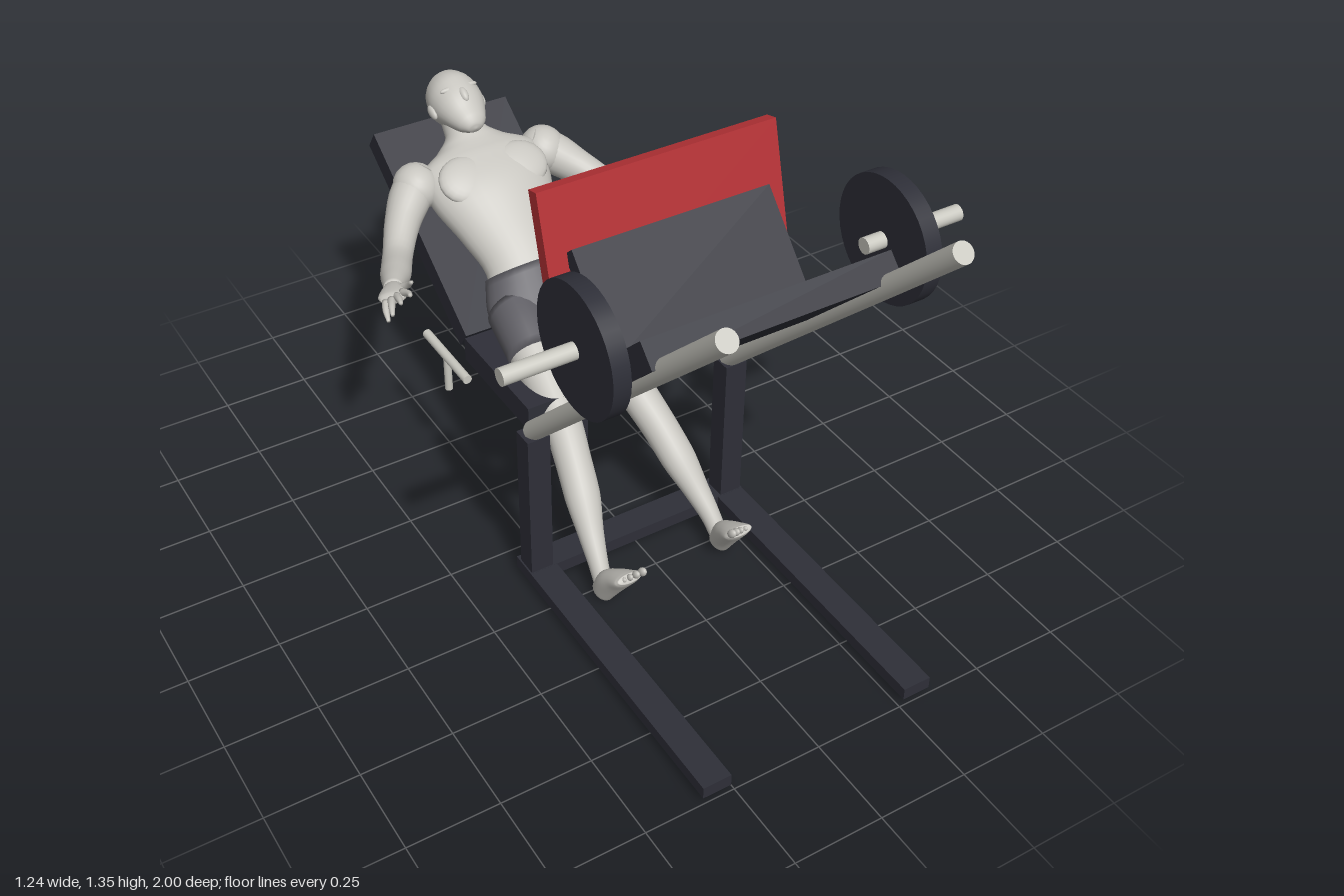
import * as THREE from 'three';

const mat = (name, color) => {
  const m = new THREE.MeshStandardMaterial({ color });
  m.name = name;
  return m;
};

// Smooth closed loft through rings [x, y, z, halfWidth, halfDepth]
function loft(rings, steps = 4, sides = 24) {
  const centre = new THREE.CatmullRomCurve3(rings.map(r => new THREE.Vector3(r[0], r[1], r[2])));
  const size = new THREE.CatmullRomCurve3(rings.map(r => new THREE.Vector3(r[3], r[4], 0)));
  const n = (rings.length - 1) * steps;
  const pos = [], idx = [];
  for (let i = 0; i <= n; i++) {
    const c = centre.getPoint(i / n), s = size.getPoint(i / n), t = centre.getTangent(i / n);
    const u = new THREE.Vector3(1, 0, 0).addScaledVector(t, -t.x).normalize();
    const v = new THREE.Vector3().crossVectors(t, u);
    for (let j = 0; j < sides; j++) {
      const q = j / sides * Math.PI * 2;
      const p = c.clone().addScaledVector(u, s.x * Math.cos(q)).addScaledVector(v, s.y * Math.sin(q));
      pos.push(p.x, p.y, p.z);
    }
  }
  for (let i = 0; i < n; i++) for (let j = 0; j < sides; j++) {
    const k = (j + 1) % sides, a = i * sides + j, b = i * sides + k;
    idx.push(a, b, b + sides, a, b + sides, a + sides);
  }
  // End caps
  const first = rings[0], last = rings[rings.length - 1], e = pos.length / 3;
  pos.push(first[0], first[1], first[2], last[0], last[1], last[2]);
  for (let j = 0; j < sides; j++) {
    const k = (j + 1) % sides;
    idx.push(e, k, j, e + 1, n * sides + j, n * sides + k);
  }
  const g = new THREE.BufferGeometry();
  g.setAttribute('position', new THREE.Float32BufferAttribute(pos, 3));
  g.setIndex(idx);
  g.computeVertexNormals();
  return g;
}

export function createModel() {
  const model = new THREE.Group();
  model.name = 'legPressWithFigure';
  const dark = mat('dark frame', 0x2e2f38);
  const red = mat('red pad', 0xb53236);
  const steel = mat('light steel', 0xc9c8c0);
  const skin = mat('pale skin', 0xc8c6c0);
  const cloth = mat('grey shorts', 0x5f5e64);

  const machine = new THREE.Group(), figure = new THREE.Group();
  machine.name = 'machine';
  figure.name = 'figure';
  model.add(machine, figure);

  const add = (parent, name, geometry, material) => {
    const m = new THREE.Mesh(geometry, material);
    m.name = name;
    parent.add(m);
    return m;
  };
  const box = (name, m, [w, h, d], [x, y, z], tilt = 0) => {
    const b = add(machine, name, new THREE.BoxGeometry(w, h, d), m);
    b.position.set(x, y, z);
    b.rotation.x = tilt;
  };
  const rod = (name, m, a, b, r, sides = 24) => {
    const p = new THREE.Vector3(...a), q = new THREE.Vector3(...b), d = q.clone().sub(p);
    const c = add(machine, name, new THREE.CylinderGeometry(r, r, d.length(), sides), m);
    c.position.copy(p).add(q).multiplyScalar(0.5);
    c.quaternion.setFromUnitVectors(new THREE.Vector3(0, 1, 0), d.normalize());
  };
  const blob = (name, m, [x, y, z], [a, b, c], tilt = 0) => {
    const s = add(figure, name, new THREE.SphereGeometry(1, 20, 14), m);
    s.position.set(x, y, z);
    s.scale.set(a, b, c);
    s.rotation.x = tilt;
  };

  // Frame, rails and weights
  box('frontCrossbar', dark, [0.68, 0.036, 0.08], [0, 0.047, 0.123]);
  for (const s of [-1, 1]) {
    box('baseRail', dark, [0.08, 0.035, 0.915], [s * 0.3, 0.047, 0.5425]);
    box('upright', dark, [0.065, 0.46, 0.06], [s * 0.303, 0.285, 0.13]);
    rod('slideRail', steel, [s * 0.3, 0.52, 0.125], [s * 0.3, 1.34, 0.953], 0.027);
    rod('weightBar', steel, [s * 0.34, 1.13, 0.585], [s * 0.62, 1.13, 0.585], 0.021);
    rod('weightPlate', dark, [s * 0.393, 1.13, 0.585], [s * 0.438, 1.13, 0.585], 0.164, 40);
    rod('handlePost', steel, [s * 0.317, 0.353, -0.332], [s * 0.317, 0.465, -0.332], 0.011);
    rod('handleGrip', steel, [s * 0.317, 0.465, -0.21], [s * 0.317, 0.465, -0.455], 0.013);
  }

  // Sliding carriage with foot plate
  box('sled', dark, [0.67, 0.07, 0.362], [0, 1.028, 0.583], -Math.PI / 4);
  box('footPlateSupport', dark, [0.55, 0.28, 0.047], [0, 1.045, 0.37], -0.74);
  box('footPlate', red, [0.66, 0.442, 0.037], [0, 1.082, 0.268], -0.256);

  // Seat
  box('seat', dark, [0.43, 0.075, 0.37], [0, 0.387, -0.245]);
  box('seatPost', dark, [0.094, 0.33, 0.092], [0, 0.195, -0.241]);
  box('backrest', dark, [0.43, 0.07, 0.66], [0, 0.6, -0.708], 0.614);
  box('backrestPost', dark, [0.07, 0.57, 0.068], [0, 0.315, -0.752]);

  // Torso, neck and head
  add(figure, 'torso', loft([
    [0, 0.47, -0.31, 0.1, 0.055], [0, 0.52, -0.37, 0.148, 0.08], [0, 0.6, -0.45, 0.124, 0.082],
    [0, 0.67, -0.55, 0.15, 0.092], [0, 0.735, -0.645, 0.185, 0.098], [0, 0.785, -0.72, 0.19, 0.08],
    [0, 0.815, -0.765, 0.11, 0.062], [0, 0.845, -0.8, 0.06, 0.056], [0, 0.89, -0.84, 0.056, 0.056],
  ], 5, 32), skin);
  add(figure, 'head', loft([
    [0, 0.917, -0.956, 0.004, 0.004], [0, 0.917, -0.944, 0.038, 0.042], [0, 0.917, -0.91, 0.066, 0.073],
    [0, 0.916, -0.865, 0.077, 0.083], [0, 0.912, -0.82, 0.073, 0.071], [0, 0.902, -0.78, 0.058, 0.05],
    [0, 0.895, -0.748, 0.042, 0.034], [0, 0.89, -0.73, 0.022, 0.016], [0, 0.889, -0.726, 0.003, 0.003],
  ], 4, 28), skin);
  blob('nose', skin, [0, 0.966, -0.796], [0.013, 0.014, 0.025], 0.5);
  blob('mouth', skin, [0, 0.932, -0.763], [0.023, 0.009, 0.011], 0.5);

  // Shorts
  add(figure, 'shorts', loft([
    [0, 0.455, -0.29, 0.09, 0.05], [0, 0.485, -0.325, 0.145, 0.083], [0, 0.52, -0.37, 0.162, 0.092],
    [0, 0.588, -0.438, 0.134, 0.089],
  ], 5, 32), cloth);

  // Limbs are shaped for the left side; the right side is mirrored
  for (const s of [-1, 1]) {
    const flip = r => [s * r[0], ...r.slice(1)];
    const limb = (name, m, rings, steps, sides) => add(figure, name, loft(rings.map(flip), steps, sides), m);

    blob('ear', skin, [s * 0.077, 0.905, -0.845], [0.01, 0.016, 0.026], 0.3);
    blob('brow', skin, [s * 0.028, 0.972, -0.828], [0.03, 0.01, 0.009], 0.4);
    blob('chestMuscle', skin, [s * 0.082, 0.797, -0.63], [0.085, 0.03, 0.075], 0.6);
    blob('shoulderMuscle', skin, [s * 0.203, 0.772, -0.71], [0.067, 0.062, 0.07], 0.6);

    limb('arm', skin, [
      [0.17, 0.785, -0.735, 0.05, 0.055], [0.225, 0.757, -0.7, 0.06, 0.06], [0.285, 0.715, -0.64, 0.05, 0.052],
      [0.345, 0.68, -0.55, 0.042, 0.042], [0.395, 0.695, -0.455, 0.042, 0.041],
      [0.432, 0.722, -0.385, 0.032, 0.03], [0.455, 0.74, -0.34, 0.024, 0.021],
    ]);
    limb('palm', skin, [
      [0.45, 0.736, -0.35, 0.022, 0.018], [0.466, 0.75, -0.315, 0.032, 0.018],
      [0.486, 0.762, -0.275, 0.038, 0.016], [0.493, 0.764, -0.26, 0.03, 0.012],
    ], 4, 16);
    const fingers = [
      [[0.46, 0.77, -0.27], [0.458, 0.787, -0.235], [0.465, 0.8, -0.207]],
      [[0.478, 0.768, -0.265], [0.487, 0.782, -0.23], [0.495, 0.79, -0.2]],
      [[0.494, 0.765, -0.262], [0.511, 0.77, -0.225], [0.523, 0.766, -0.195]],
      [[0.508, 0.758, -0.268], [0.523, 0.754, -0.235], [0.531, 0.744, -0.205]],
      [[0.452, 0.75, -0.32], [0.437, 0.775, -0.285], [0.438, 0.803, -0.255]],
    ];
    for (const [a, b, c] of fingers)
      limb('finger', skin, [[...a, 0.011, 0.011], [...b, 0.009, 0.009], [...c, 0.005, 0.005]], 4, 10);

    limb('leg', skin, [
      [0.085, 0.51, -0.37, 0.072, 0.078], [0.1, 0.46, -0.24, 0.071, 0.068], [0.11, 0.4, -0.13, 0.062, 0.06],
      [0.122, 0.345, -0.035, 0.053, 0.052], [0.137, 0.29, 0.04, 0.05, 0.05], [0.152, 0.225, 0.115, 0.049, 0.046],
      [0.168, 0.155, 0.185, 0.036, 0.036], [0.18, 0.095, 0.245, 0.027, 0.029], [0.185, 0.05, 0.28, 0.024, 0.026],
    ], 5);
    limb('shortsLeg', cloth, [
      [0.085, 0.51, -0.37, 0.079, 0.085], [0.092, 0.49, -0.3, 0.08, 0.08], [0.1, 0.458, -0.225, 0.077, 0.075],
    ]);
    limb('foot', skin, [
      [0.188, 0.012, 0.277, 0.012, 0.014], [0.187, 0.033, 0.283, 0.028, 0.034], [0.184, 0.075, 0.307, 0.033, 0.037],
      [0.178, 0.115, 0.345, 0.038, 0.029], [0.173, 0.148, 0.382, 0.042, 0.018], [0.172, 0.16, 0.394, 0.036, 0.012],
    ], 4, 20);
    for (let i = 0; i < 5; i++) {
      const r = 0.012 - i * 0.0014;
      blob('toe', skin, [s * (0.14 + i * 0.0165), 0.173 - i * 0.005, 0.402 - i * 0.004], [r * 0.8, r * 1.7, r], 0.75);
    }
  }
  return model;
}
